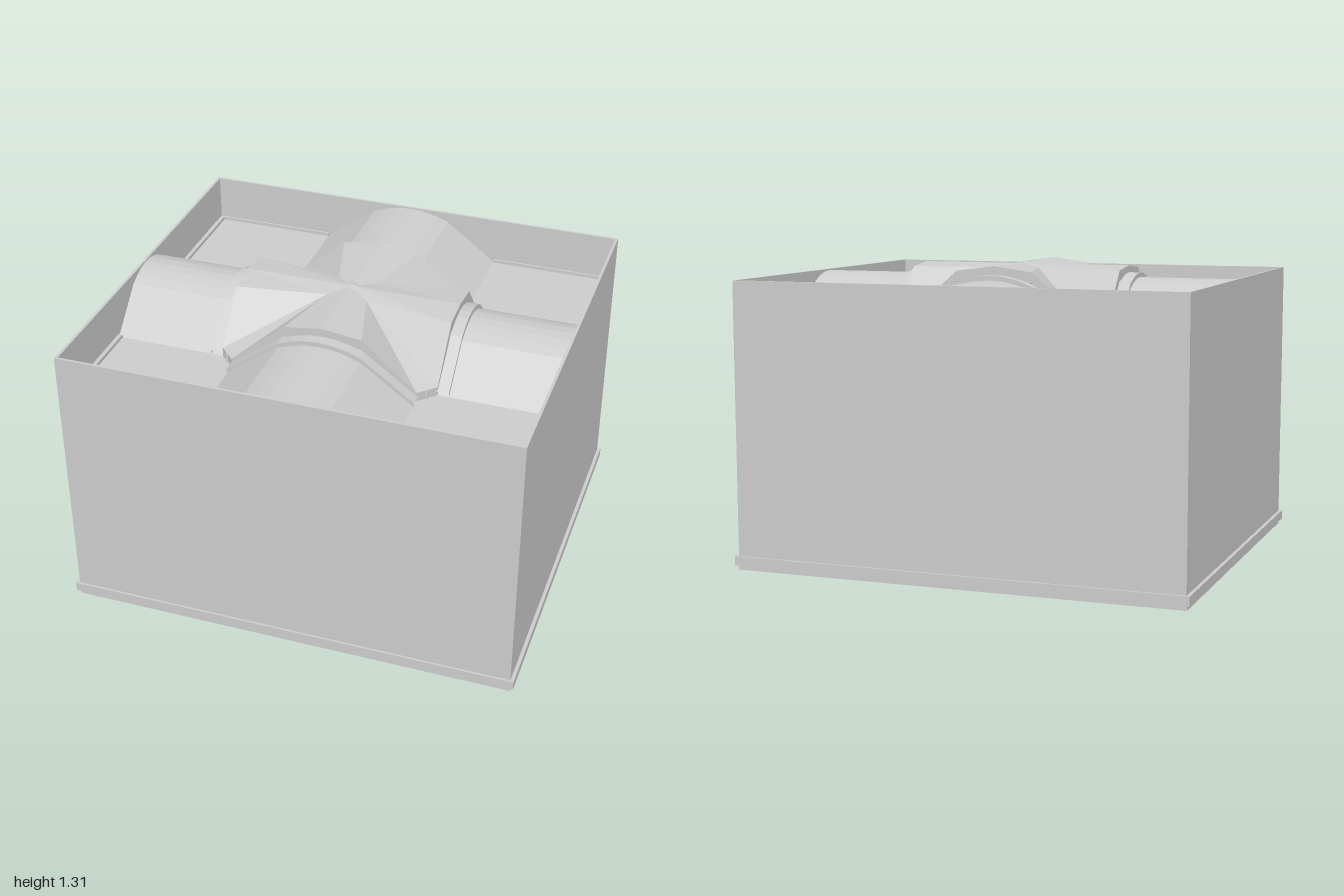
import * as THREE from 'three';

const mat = new THREE.MeshStandardMaterial({ color: 0xcccccc, flatShading: true, side: THREE.DoubleSide });
const BASE = 1.04, RISE = 0.21;

// Half profile of a barrel: [fraction of half width, fraction of rise]
const HALF = [[1, 0], [0.44, 0.81], [0.3, 0.91], [0.15, 0.98], [0, 1]];
const ARCH = [...HALF, ...HALF.slice(0, -1).reverse().map(([t, h]) => [-t, h])];

function addMesh(parent, name, geometry, x = 0, y = 0, z = 0) {
  const mesh = new THREE.Mesh(geometry, mat);
  mesh.name = name;
  mesh.position.set(x, y, z);
  parent.add(mesh);
  return mesh;
}

function box(parent, name, w, h, d, x, y, z) {
  return addMesh(parent, name, new THREE.BoxGeometry(w, h, d), x, y, z);
}

// Convex polygons to triangles
function polygons(list) {
  const pos = [];
  for (const p of list)
    for (let i = 1; i < p.length - 1; i++) pos.push(...p[0], ...p[i], ...p[i + 1]);
  const g = new THREE.BufferGeometry();
  g.setAttribute('position', new THREE.Float32BufferAttribute(pos, 3));
  g.computeVertexNormals();
  return g;
}

// Arched strip running from a to b; lift > 0 adds end faces down to the barrel
function archStrip(half, a, b, alongX, lift = 0) {
  const pt = ([t, h], s, up) => alongX
    ? [s, BASE + h * RISE + up, t * half]
    : [t * half, BASE + h * RISE + up, s];
  const faces = [];
  for (let i = 0; i < ARCH.length - 1; i++) {
    const p = ARCH[i], q = ARCH[i + 1];
    const top = [pt(p, a, lift), pt(p, b, lift), pt(q, b, lift), pt(q, a, lift)];
    faces.push(alongX ? top.reverse() : top);
    if (lift) for (const s of [a, b])
      faces.push([pt(p, s, 0), pt(q, s, 0), pt(q, s, lift), pt(p, s, lift)]);
  }
  return polygons(faces);
}

// Faceted cross-shaped cap: one quadrant, mirrored four ways
function capGeometry() {
  const faces = [];
  const C = [0, 1.3, 0], P = [0.09, 1.285, 0.08];
  const A = [[0, 1.308, 0.39], [0.17, 1.285, 0.39], [0.41, 1.08, 0.39]];
  const B = [[0, 1.3, 0], [0, 1.285, 0.14], [0, 1.08, 0.32]].map(([, y, z]) => [0.48, y, z]);
  const down = ([x, y, z]) => [x, y - 0.045, z];
  const quadrant = [
    [C, A[0], A[1], P], [P, A[1], A[2]], [P, A[2], B[2]],
    [P, B[2], B[1]], [C, P, B[1], B[0]],
  ];
  const rim = [...A, ...B.slice().reverse()];
  for (let i = 0; i < rim.length - 1; i++)
    quadrant.push([rim[i], down(rim[i]), down(rim[i + 1]), rim[i + 1]]);
  for (const sx of [1, -1]) for (const sz of [1, -1])
    for (const f of quadrant) {
      const m = f.map(([x, y, z]) => [x * sx, y, z * sz]);
      faces.push(sx * sz > 0 ? m : m.reverse());
    }
  return polygons(faces);
}

export function createModel() {
  const model = new THREE.Group();
  model.name = 'vaultedBox';

  // Open box with a floor and a narrow skirt
  box(model, 'floor', 1.97, 0.02, 1.74, 0, 0.03, 0);
  for (const s of [1, -1]) {
    box(model, 'sideWall', 0.012, 1.235, 1.74, s * 0.977, 0.6375, 0);
    box(model, 'endWall', 1.966, 1.235, 0.012, 0, 0.6375, s * 0.866);
    box(model, 'sideSkirt', 0.016, 0.04, 1.76, s * 0.99, 0.06, 0);
    box(model, 'endSkirt', 1.996, 0.04, 0.012, 0, 0.06, s * 0.876);
  }

  for (const sx of [1, -1]) for (const sz of [1, -1]) {
    // Round feet under the floor
    addMesh(model, 'foot', new THREE.CylinderGeometry(0.04, 0.04, 0.03, 16), sx * 0.48, 0.015, sz * 0.38);
    // Flat corner sheets between the vaults
    const sheet = new THREE.PlaneGeometry(0.565, 0.545).rotateX(-Math.PI / 2);
    addMesh(model, 'cornerSheet', sheet, sx * 0.6925, BASE, sz * 0.5925);
    // Small ledges along the walls
    box(model, 'sideLedge', 0.018, 0.015, 0.545, sx * 0.962, BASE + 0.0075, sz * 0.5925);
    box(model, 'endLedge', 0.565, 0.015, 0.01, sx * 0.6925, BASE + 0.0075, sz * 0.856);
    // Blocks carrying the corners of the cap
    box(model, 'capFoot', 0.05, 0.04, 0.05, sx * 0.425, BASE + 0.02, sz * 0.335);
  }

  // Four barrel arms, each with a raised band beside the cap
  for (const s of [1, -1]) {
    const span = (a, b) => (s > 0 ? [a, b] : [-b, -a]);
    addMesh(model, 'sideBarrel', archStrip(0.32, ...span(0.41, 0.972), true));
    addMesh(model, 'endBarrel', archStrip(0.41, ...span(0.32, 0.862), false));
    addMesh(model, 'sideBand', archStrip(0.325, ...span(0.47, 0.53), true, 0.02));
    addMesh(model, 'endBand', archStrip(0.415, ...span(0.38, 0.44), false, 0.02));
  }

  // Central cap with its small pointed boss
  addMesh(model, 'crossCap', capGeometry());
  addMesh(model, 'capBoss', new THREE.ConeGeometry(0.05, 0.015, 4), 0, 1.302, 0);
  return model;
}
